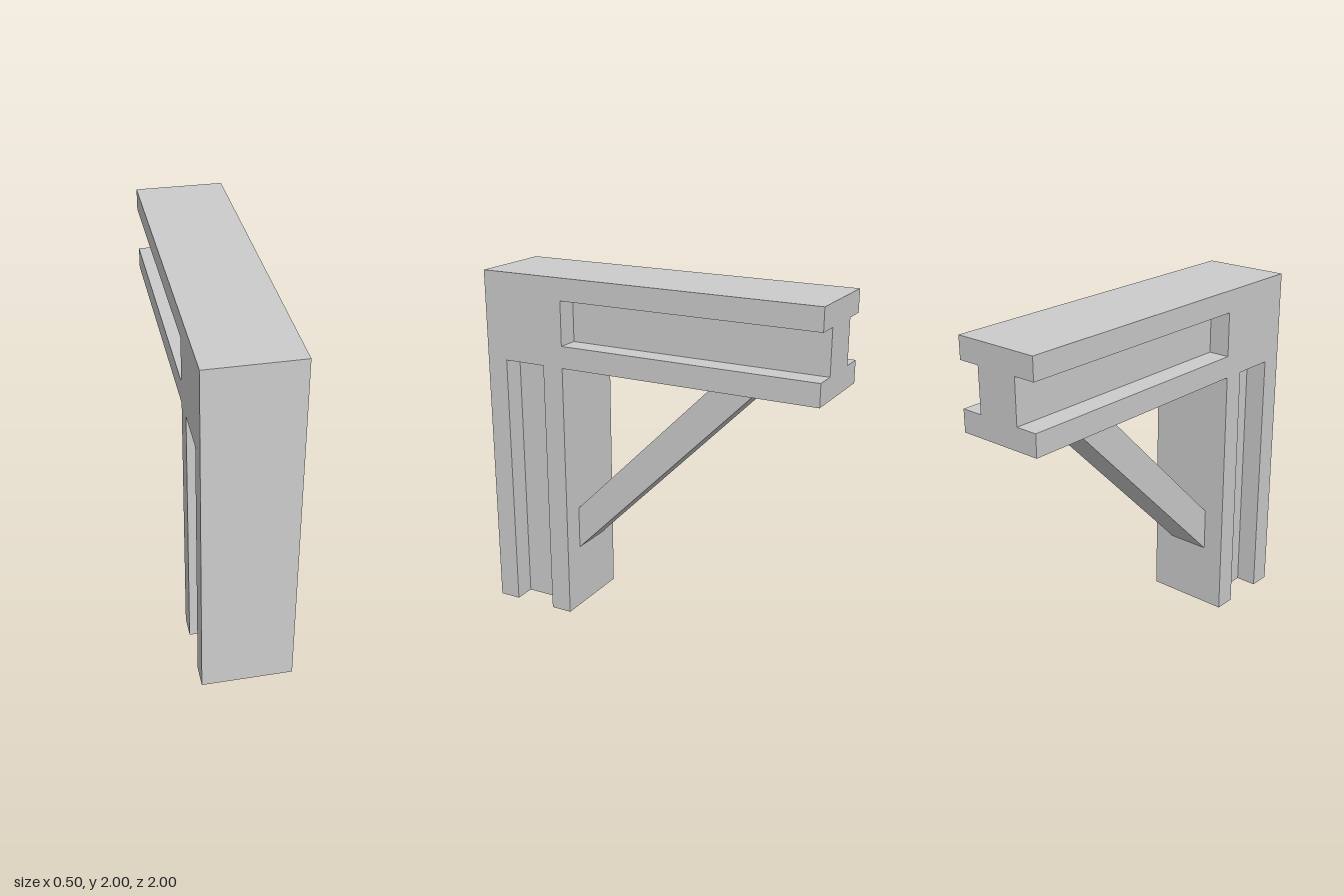
import * as THREE from 'three';

const material = new THREE.MeshStandardMaterial({ color: 0xcccccc, flatShading: true });

// Extrudes a side profile of [z, y] points across x, centred on the given x
function slab(name, profile, width, x = 0) {
  const shape = new THREE.Shape(profile.map(([z, y]) => new THREE.Vector2(z, y)));
  const geometry = new THREE.ExtrudeGeometry(shape, { depth: width, bevelEnabled: false });
  geometry.translate(0, 0, -width / 2);
  geometry.rotateY(-Math.PI / 2);
  const mesh = new THREE.Mesh(geometry, material);
  mesh.name = name;
  mesh.position.x = x;
  return mesh;
}

export function createModel() {
  const group = new THREE.Group();
  group.name = 'bracedBracket';

  // Solid core of the post and beam
  group.add(slab('core', [
    [0.5, 0], [1, 0], [1, 2], [-1, 2], [-1, 1.5], [0.5, 1.5],
  ], 0.25));

  // Outer layers, with a groove open at the foot of the post and the end of the beam
  const grooved = [
    [0.5, 0], [0.625, 0], [0.625, 1.5], [0.875, 1.5], [0.875, 0], [1, 0], [1, 2],
    [-1, 2], [-1, 1.875], [0.5, 1.875], [0.5, 1.625], [-1, 1.625], [-1, 1.5], [0.5, 1.5],
  ];
  group.add(slab('leftFlanges', grooved, 0.125, 0.1875));
  group.add(slab('rightFlanges', grooved, 0.125, -0.1875));

  // Diagonal brace between post and beam
  group.add(slab('brace', [
    [0.5, 0.375], [0.5, 0.625], [-0.375, 1.5], [-0.625, 1.5],
  ], 0.25));

  return group;
}
